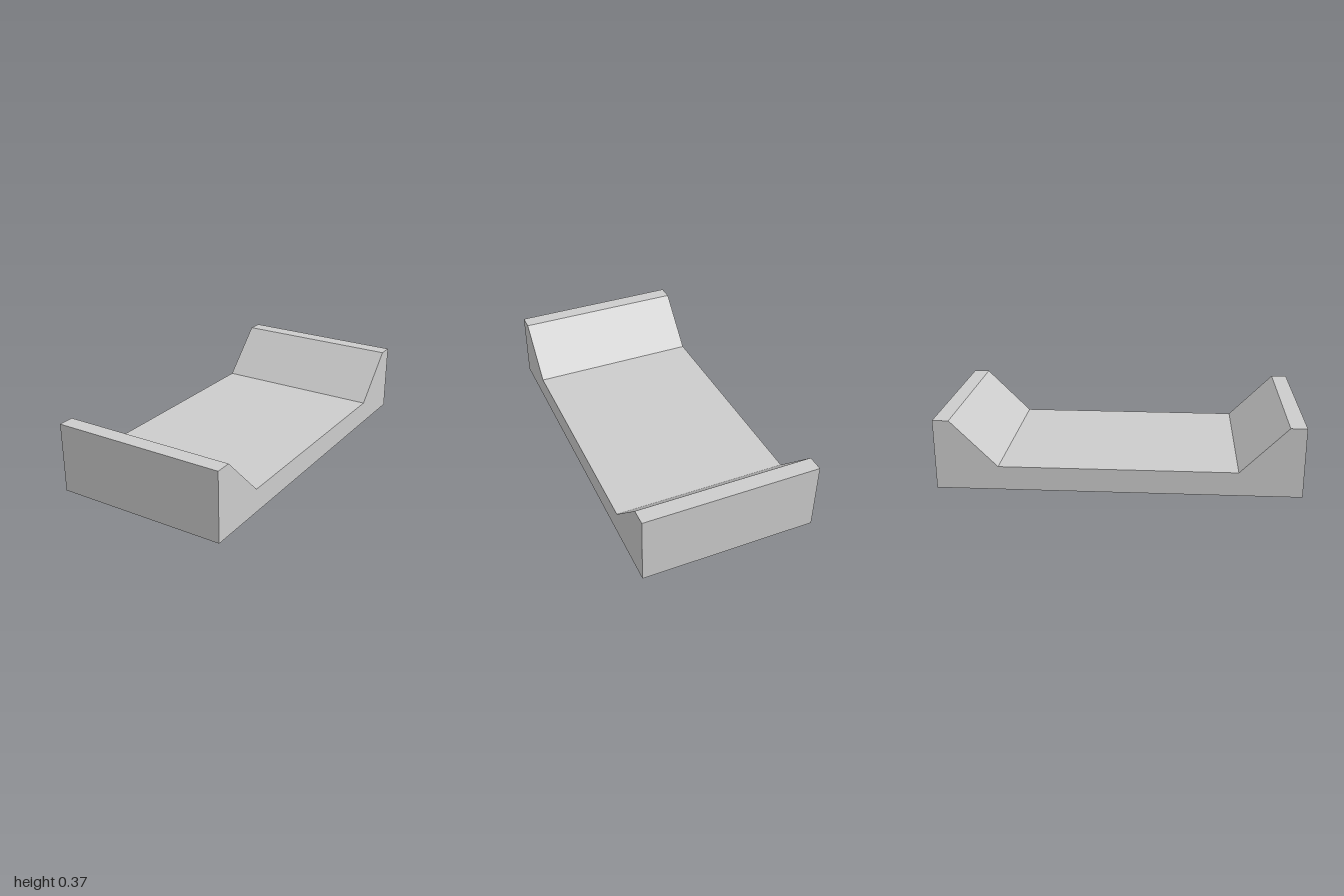
import * as THREE from 'three';

export function createModel() {
  const group = new THREE.Group();
  group.name = 'cradle';
  const lightGrey = new THREE.MeshStandardMaterial({ color: 0xcccccc });
  lightGrey.name = 'light grey';

  const end = 0.9475, rim = 0.863, floor = 0.619; // half lengths along the block
  const height = 0.372, base = 0.127, width = 0.933;

  // Side profile: flat floor with sloping ramps up to a narrow rim at each end
  const profile = new THREE.Shape([
    [-end, 0], [end, 0], [end, height], [rim, height],
    [floor, base], [-floor, base], [-rim, height], [-end, height],
  ].map(([x, y]) => new THREE.Vector2(x, y)));

  const geometry = new THREE.ExtrudeGeometry(profile, { depth: width, bevelEnabled: false });
  geometry.translate(0, 0, -width / 2);

  // The block lies diagonally across the ground
  const block = new THREE.Mesh(geometry, lightGrey);
  block.name = 'rampedBlock';
  block.rotation.y = Math.PI / 4;
  group.add(block);
  return group;
}
